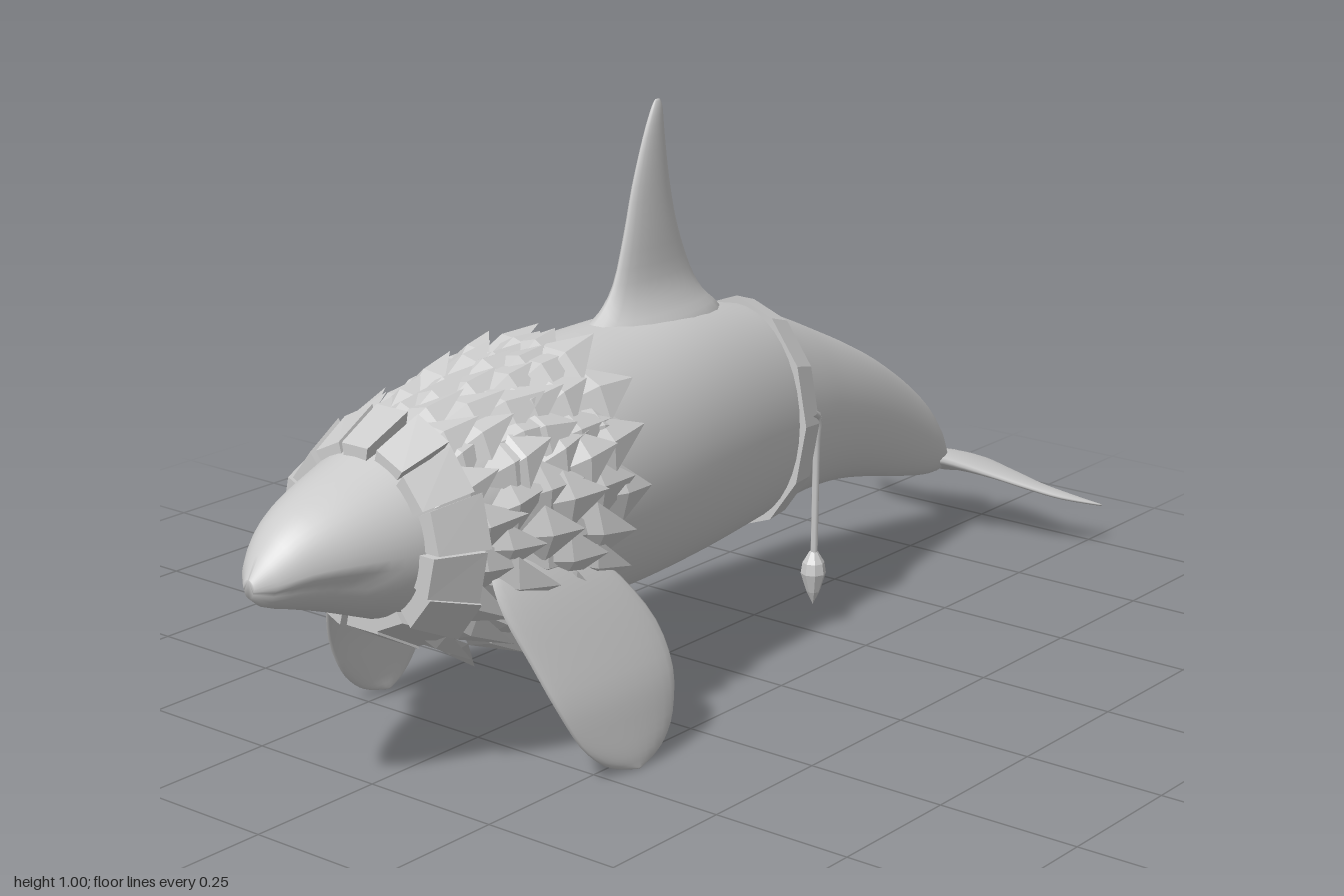
import * as THREE from 'three';

const smoothMat = new THREE.MeshStandardMaterial({ color: 0xcccccc });
const facetMat = new THREE.MeshStandardMaterial({ color: 0xcccccc, flatShading: true, side: THREE.DoubleSide });

// Body stations: x, bottom, top, half width
const STATIONS = [
  [-1, 0.385, 0.415, 0.012], [-0.975, 0.365, 0.45, 0.04], [-0.93, 0.35, 0.49, 0.07], [-0.87, 0.33, 0.518, 0.1],
  [-0.78, 0.295, 0.548, 0.13], [-0.68, 0.255, 0.58, 0.152], [-0.55, 0.215, 0.61, 0.175], [-0.4, 0.19, 0.632, 0.192],
  [-0.2, 0.182, 0.642, 0.187], [0, 0.187, 0.637, 0.168], [0.2, 0.203, 0.6, 0.14], [0.3, 0.214, 0.56, 0.122],
  [0.4, 0.214, 0.515, 0.102], [0.5, 0.203, 0.468, 0.083], [0.6, 0.182, 0.415, 0.065], [0.7, 0.157, 0.35, 0.048],
  [0.78, 0.14, 0.285, 0.035], [0.82, 0.137, 0.235, 0.028], [0.845, 0.14, 0.19, 0.018],
];

// Smooth interpolation of the stations at x
function section(x) {
  const last = STATIONS.length - 1;
  let i = 0;
  while (i < last - 1 && x > STATIONS[i + 1][0]) i++;
  const p = [i - 1, i, i + 1, i + 2].map(k => STATIONS[Math.min(last, Math.max(0, k))]);
  const d = p[2][0] - p[1][0], t = THREE.MathUtils.clamp((x - p[1][0]) / d, 0, 1);
  const [bottom, top, half] = [1, 2, 3].map(k => {
    const m0 = (p[2][k] - p[0][k]) / (p[2][0] - p[0][0]) * d;
    const m1 = (p[3][k] - p[1][k]) / (p[3][0] - p[1][0]) * d;
    const t2 = t * t, t3 = t2 * t;
    return (2 * t3 - 3 * t2 + 1) * p[1][k] + (t3 - 2 * t2 + t) * m0 + (3 * t2 - 2 * t3) * p[2][k] + (t3 - t2) * m1;
  });
  return { cy: (top + bottom) / 2, ry: (top - bottom) / 2, rz: half };
}

// Point at station x, angle a from the top, height h above the skin
function onSkin(x, a, h = 0) {
  const s = section(x);
  return [x, s.cy + (s.ry + h) * Math.cos(a), (s.rz + h) * Math.sin(a)];
}

// Closed skin through rings of points, capped at both ends
function loft(rings, flip = false) {
  const n = rings[0].length, pos = rings.flat(2), index = [];
  const tri = (a, b, c) => (flip ? index.push(a, c, b) : index.push(a, b, c));
  for (let i = 0; i < rings.length - 1; i++) {
    for (let j = 0; j < n; j++) {
      const a = i * n + j, b = i * n + (j + 1) % n;
      tri(a, b, a + n);
      tri(b, b + n, a + n);
    }
  }
  const end = (rings.length - 1) * n;
  for (let j = 1; j < n - 1; j++) {
    tri(0, j + 1, j);
    tri(end, end + j, end + j + 1);
  }
  const g = new THREE.BufferGeometry();
  g.setAttribute('position', new THREE.Float32BufferAttribute(pos, 3));
  g.setIndex(index);
  g.computeVertexNormals();
  return g;
}

const ring = (n, f) => Array.from({ length: n }, (_, j) => f(j / n * Math.PI * 2));

// Rows of numbers smoothed by a spline into more rows
function refine(rows, count) {
  const track = k => new THREE.SplineCurve(rows.map((r, i) => new THREE.Vector2(i, r[k])));
  const tracks = rows[0].map((_, k) => track(k));
  return Array.from({ length: count + 1 }, (_, i) => tracks.map(c => c.getPoint(i / count).y));
}

// Bends a small geometry onto the skin; f turns its x, y, z into station, angle, height
function wrap(geo, f) {
  const p = geo.attributes.position;
  for (let i = 0; i < p.count; i++) p.setXYZ(i, ...onSkin(...f(p.getX(i), p.getY(i), p.getZ(i))));
  geo.computeVertexNormals();
  return geo;
}

function seeded(seed) {
  return () => (seed = (seed * 16807) % 2147483647) / 2147483647;
}

export function createModel() {
  const model = new THREE.Group();
  const add = (name, geo, mat = smoothMat, parent = model) => {
    const m = new THREE.Mesh(geo, mat);
    m.name = name;
    parent.add(m);
    return m;
  };
  const group = name => {
    const g = new THREE.Group();
    g.name = name;
    model.add(g);
    return g;
  };
  const rand = seeded(77);

  // Body, with the lower jaw set in below the mouth line
  const bodyRings = [];
  for (let i = 0; i <= 80; i++) {
    const x = -1 + 1.845 * i / 80;
    const jaw = 0.14 * THREE.MathUtils.smoothstep(-x, 0.8, 0.88);
    bodyRings.push(ring(40, a => {
      const [px, y, z] = onSkin(x, a);
      return [px, y, z * (y < 0.4 ? 1 - jaw : 1)];
    }));
  }
  add('body', loft(bodyRings));

  // Dorsal fin: height, front x, rear x, half thickness
  const dorsal = refine([
    [0.57, -0.25, 0.15, 0.08], [0.62, -0.23, 0.125, 0.06], [0.655, -0.18, 0.085, 0.038], [0.7, -0.145, 0.055, 0.022],
    [0.78, -0.117, 0.02, 0.017], [0.86, -0.095, 0, 0.013], [0.94, -0.066, -0.012, 0.009],
    [0.985, -0.045, -0.017, 0.006], [1, -0.035, -0.023, 0.002],
  ], 24);
  add('dorsalFin', loft(dorsal.map(([y, x0, x1, t]) =>
    ring(20, a => [(x0 + x1) / 2 + (x1 - x0) / 2 * Math.cos(a), y, -t * Math.sin(a)]))));

  // Flippers: height, front x, rear x, z
  const flipper = refine([
    [0.41, -0.6, -0.48, 0.14], [0.36, -0.64, -0.44, 0.175], [0.3, -0.645, -0.385, 0.205], [0.22, -0.62, -0.337, 0.235],
    [0.14, -0.59, -0.325, 0.26], [0.07, -0.55, -0.337, 0.27], [0.03, -0.51, -0.362, 0.274],
    [0.01, -0.475, -0.39, 0.274], [0.002, -0.445, -0.42, 0.274],
  ], 24);
  // Tail flukes: z, leading x, trailing x, leading y, trailing y, half thickness
  const fluke = refine([
    [0, 0.78, 0.955, 0.175, 0.125, 0.022], [0.03, 0.81, 0.99, 0.165, 0.116, 0.018], [0.1, 0.862, 0.98, 0.138, 0.111, 0.01],
    [0.17, 0.885, 0.965, 0.122, 0.104, 0.008], [0.23, 0.922, 0.972, 0.103, 0.094, 0.006], [0.28, 0.985, 0.995, 0.083, 0.08, 0.002],
  ], 20);
  for (const s of [1, -1]) {
    const side = s > 0 ? 'left' : 'right';
    add(side === 'left' ? 'flipperFront' : 'flipperBack', loft(flipper.map(([y, x0, x1, z]) => ring(24, a => {
      const x = (x0 + x1) / 2 + (x1 - x0) / 2 * Math.cos(a);
      return [x, y, s * (z + (x + 0.48) * 0.08 + 0.013 * Math.sin(a))];
    })), s < 0));
    add(side === 'left' ? 'flukeFront' : 'flukeBack', loft(fluke.map(([z, x0, x1, y0, y1, t]) => ring(16, a => {
      const u = (1 + Math.cos(a)) / 2;
      return [x0 + (x1 - x0) * u, y0 + (y1 - y0) * u + t * Math.sin(a), s * z];
    })), s < 0));
  }

  // Collar of separate plates behind the head
  const collar = group('collar');
  const plates = 14;
  for (let i = 0; i < plates; i++) {
    const a0 = i / plates * Math.PI * 2, wide = 0.36 + rand() * 0.08, rise = 0.025 + rand() * 0.02;
    const start = -0.77 + rand() * 0.012;
    add('collarPlate', wrap(new THREE.BoxGeometry(1, 1, 1), (x, y, z) =>
      [start + (x + 0.5) * 0.085, a0 + z * wide, y < 0 ? -0.01 : rise + x * 0.015]), facetMat, collar);
  }

  // Feather mantle: overlapping rows of ridged leaves, shorter underneath
  const mantle = group('featherMantle');
  const rows = [[-0.72, 20, 3.1], [-0.66, 20, 3.1], [-0.6, 20, 2.7], [-0.545, 18, 2.3], [-0.49, 16, 1.95], [-0.435, 13, 1.6]];
  rows.forEach(([x0, count, reach], r) => {
    for (let i = 0; i < count; i++) {
      const a = reach * ((i + (r % 2 ? 0.25 : 0.75)) / count * 2 - 1) + (rand() - 0.5) * 0.1;
      const start = x0 + (rand() - 0.5) * 0.03, long = 0.1 + rand() * 0.045;
      const half = 0.2 + rand() * 0.05, twist = (rand() - 0.5) * 0.25;
      const low = Math.abs(a) > 1.9 && Math.abs(a) < 2.9 ? 0.03 : 0;
      const lift = 0.012 + rand() * 0.026 + low;
      add('feather', wrap(new THREE.OctahedronGeometry(1), (x, y, z) => {
        const u = x < -0.5 ? 0 : x > 0.5 ? 1 : 0.45;
        return [start + u * long, a + z * half + twist * u, u * lift + 0.004 + y * 0.014];
      }), facetMat, mantle);
    }
  });

  // Belt of straight segments around the rear body
  const belt = group('belt');
  const sides = 12, step = Math.PI * 2 / sides;
  for (let i = 0; i < sides; i++) {
    add('beltSegment', wrap(new THREE.BoxGeometry(1, 1, 1), (x, y, z) =>
      [0.217 + x * 0.05, (i + 0.5 + z) * step, y < 0 ? -0.012 : 0.014]), facetMat, belt);
  }

  // Hanging cord with a leaf-shaped pendant
  const cord = new THREE.CatmullRomCurve3([[0.225, 0.42, 0.146], [0.247, 0.405, 0.142], [0.256, 0.36, 0.132], [0.257, 0.14, 0.128]]
    .map(p => new THREE.Vector3(...p)));
  add('cord', new THREE.TubeGeometry(cord, 16, 0.007, 6));
  const profile = [[0, 0.05], [0.012, 0.075], [0.023, 0.11], [0.02, 0.13], [0.008, 0.15], [0, 0.155]];
  const pendant = add('pendant', new THREE.LatheGeometry(profile.map(p => new THREE.Vector2(...p)), 8), facetMat);
  pendant.position.set(0.257, 0, 0.127);

  return model;
}
